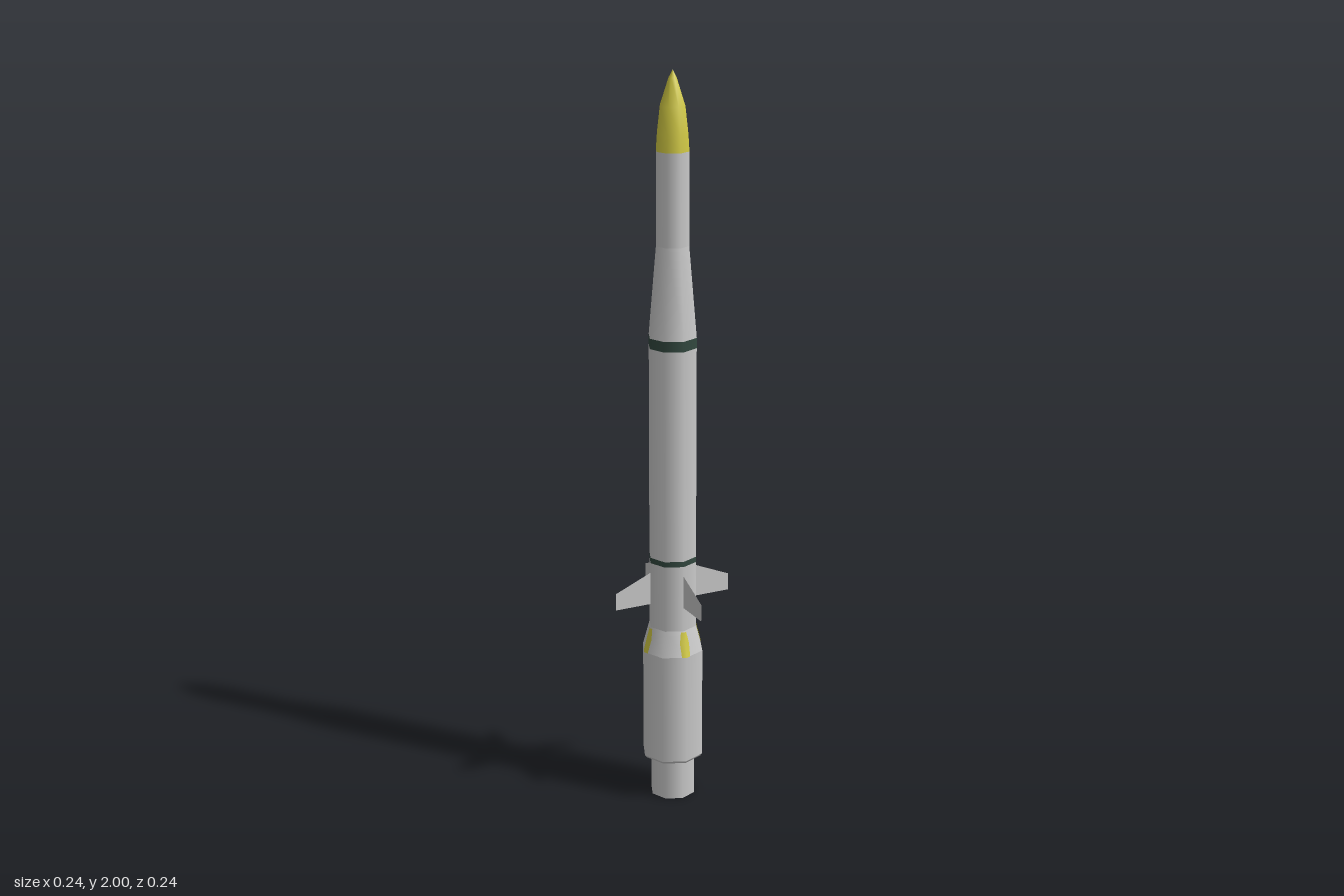
import * as THREE from 'three';

const SIDES = 8;

export function createModel() {
  const group = new THREE.Group();
  const mat = (name, color, side = THREE.FrontSide) => {
    const m = new THREE.MeshStandardMaterial({ color, side });
    m.name = name;
    return m;
  };
  const grey = mat('light grey', 0xcacaca);
  const finGrey = mat('fin grey', 0xcacaca, THREE.DoubleSide);
  const yellow = mat('yellow', 0xd2ca44, THREE.DoubleSide);
  const green = mat('dark green', 0x32483f);

  const add = (name, geometry, material) => {
    const mesh = new THREE.Mesh(geometry, material);
    mesh.name = name;
    group.add(mesh);
    return mesh;
  };
  // Eight-sided turned section from [radius, height] pairs, bottom to top
  const turned = (name, material, profile) =>
    add(name, new THREE.LatheGeometry(profile.map(([r, y]) => new THREE.Vector2(r, y)), SIDES), material);

  // Hollow exhaust nozzle
  turned('nozzleWall', grey, [[0.062, 0], [0.062, 0.116]]);
  turned('nozzleRim', grey, [[0.046, 0], [0.062, 0]]);
  turned('nozzleInside', grey, [[0.046, 0.1], [0.046, 0]]);
  turned('nozzleEnd', grey, [[0, 0.1], [0.046, 0.1]]);

  // Wide booster with tapered shoulder
  turned('boosterUnderside', grey, [[0.06, 0.115], [0.08, 0.115]]);
  turned('boosterEdge', grey, [[0.08, 0.115], [0.085, 0.122]]);
  turned('booster', grey, [[0.085, 0.122], [0.085, 0.43]]);
  turned('boosterShoulder', grey, [[0.085, 0.43], [0.066, 0.5]]);

  // Main body, bands and slimmer forward section
  turned('rearBody', grey, [[0.066, 0.5], [0.066, 0.685]]);
  turned('lowerBand', green, [[0.066, 0.685], [0.066, 0.7]]);
  turned('mainBody', grey, [[0.066, 0.7], [0.066, 1.28]]);
  turned('upperBand', green, [[0.066, 1.28], [0.066, 1.308]]);
  turned('bodyTaper', grey, [[0.066, 1.308], [0.045, 1.55]]);
  turned('forwardBody', grey, [[0.045, 1.55], [0.045, 1.795]]);
  turned('noseCone', yellow, [[0.045, 1.795], [0.042, 1.84], [0.034, 1.91], [0.011, 1.98], [0, 2]]);

  // Fin outline: distance from the axis, height
  const finShape = new THREE.Shape([
    [0.06, 0.567], [0.169, 0.567], [0.169, 0.614], [0.06, 0.66],
  ].map(([x, y]) => new THREE.Vector2(x, y)));
  const finGeometry = new THREE.ShapeGeometry(finShape);

  // Marker wrapped over a shoulder corner, lying on its two adjoining facets
  const markerGeometry = () => {
    const rows = [[0.0865, 0.43, 0.2], [0.0765, 0.467, 0.25], [0.0685, 0.497, 0.16]];
    const pos = [], index = [];
    for (const [r, y, w] of rows) {
      for (const side of [1, 0, -1]) {
        const a = side * Math.PI * 2 / SIDES;
        const t = side ? w : 0;
        pos.push(r * (1 - t + t * Math.cos(a)), y, r * t * Math.sin(a));
      }
    }
    for (let i = 0; i < 2; i++) {
      for (let j = 0; j < 2; j++) {
        const a = i * 3 + j;
        index.push(a, a + 1, a + 4, a, a + 4, a + 3);
      }
    }
    const g = new THREE.BufferGeometry();
    g.setAttribute('position', new THREE.Float32BufferAttribute(pos, 3));
    g.setIndex(index);
    g.computeVertexNormals();
    return g;
  };
  const marker = markerGeometry();

  // Four fins and markers on the diagonals
  for (let i = 0; i < 4; i++) {
    const angle = Math.PI / 4 + i * Math.PI / 2;
    add('fin' + (i + 1), finGeometry, finGrey).rotation.y = angle;
    add('shoulderMarker' + (i + 1), marker, yellow).rotation.y = angle;
  }
  return group;
}
